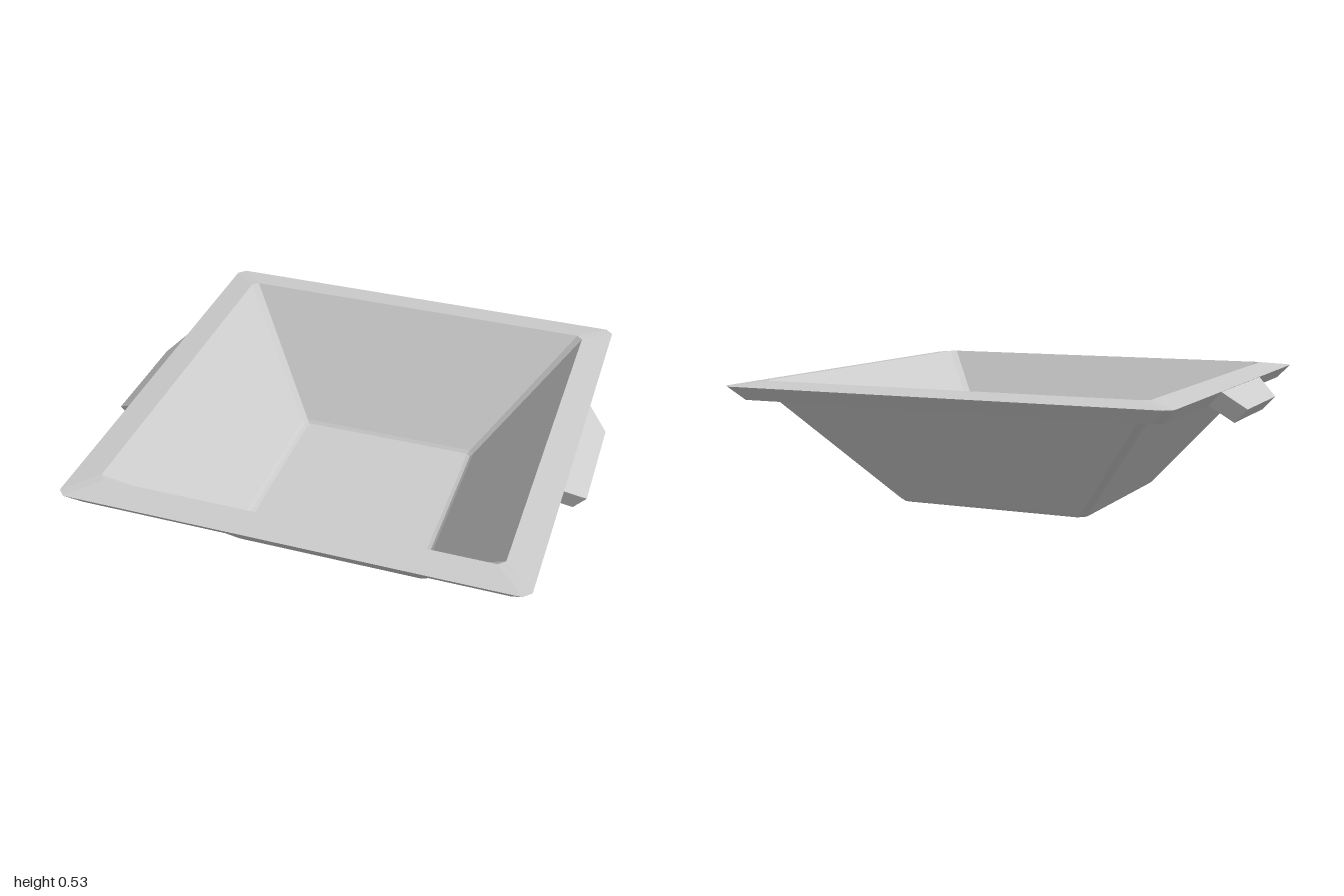
import * as THREE from 'three';

const material = new THREE.MeshStandardMaterial({ color: 0xcccccc, flatShading: true });

// Square ring with clipped corners, running clockwise seen from above
function squareRing([half, y, clip]) {
  const a = half, b = half - clip;
  return [[a, b], [a, -b], [b, -a], [-b, -a], [-a, -b], [-a, b], [-b, a], [b, a]]
    .map(([x, z]) => [x, y, z]);
}

// Skin between successive rings, with the first and last ring closed by a flat cap
function loft(rings) {
  const n = rings[0].length, last = (rings.length - 1) * n, index = [];
  for (let r = 0; r < rings.length - 1; r++) {
    for (let i = 0; i < n; i++) {
      const a = r * n + i, b = r * n + (i + 1) % n;
      index.push(a, b, b + n, a, b + n, a + n);
    }
  }
  for (let i = 1; i < n - 1; i++) {
    index.push(0, i + 1, i, last, last + i, last + i + 1);
  }
  const g = new THREE.BufferGeometry();
  g.setAttribute('position', new THREE.Float32BufferAttribute(rings.flat(2), 3));
  g.setIndex(index);
  const flat = g.toNonIndexed();
  flat.computeVertexNormals();
  return flat;
}

function addMesh(group, name, geometry) {
  const mesh = new THREE.Mesh(geometry, material);
  mesh.name = name;
  group.add(mesh);
  return mesh;
}

export function createModel() {
  const group = new THREE.Group();
  group.name = 'squareBowl';

  // Bowl and rim: half width, height, corner clip, from the base up the outside and down the inside
  const profile = [
    [0.395, 0, 0.02], [0.412, 0.005, 0.025], [0.425, 0.018, 0.025],   // rounded base edge
    [0.785, 0.457, 0.03],                                             // outer wall
    [0.868, 0.457, 0.03], [0.917, 0.512, 0.03], [0.797, 0.528, 0.025], // rim
    [0.415, 0.066, 0.02], [0.402, 0.054, 0.017], [0.385, 0.05, 0.014], // inner wall, floor edge
  ];
  addMesh(group, 'bowl', loft(profile.map(squareRing)));

  // Sloping tapered handles on both sides
  const section = (halfZ, top, bottom) => [
    [...top, halfZ], [...top, -halfZ], [...bottom, -halfZ], [...bottom, halfZ],
  ];
  const handle = loft([
    section(0.3, [0.915, 0.511], [0.866, 0.457]).reverse(),
    section(0.23, [1, 0.44], [0.951, 0.386]).reverse(),
  ]);
  addMesh(group, 'leftHandle', handle);
  addMesh(group, 'rightHandle', handle).rotation.y = Math.PI;

  return group;
}
